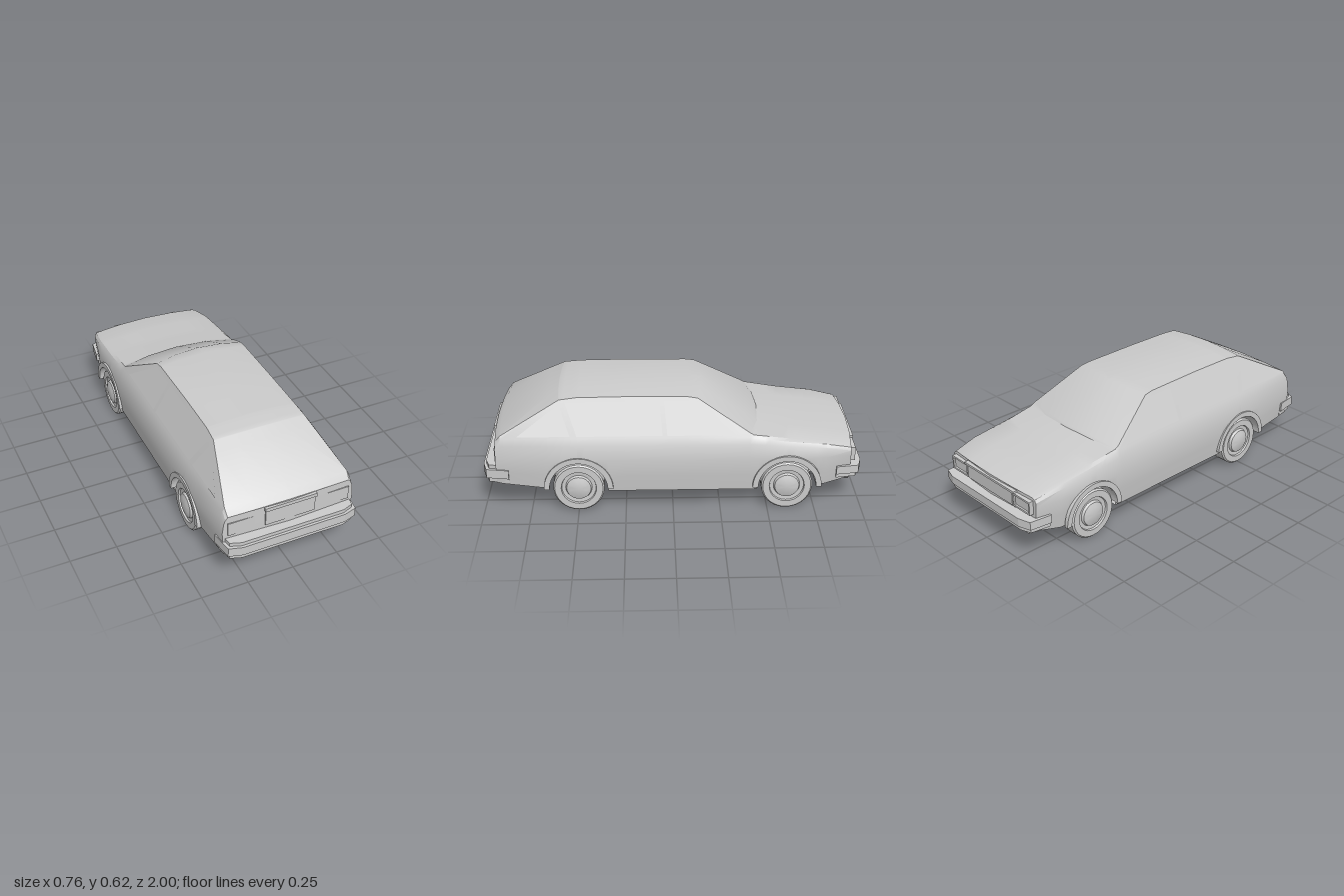
import * as THREE from 'three';
import { toCreasedNormals } from 'three/addons/utils/BufferGeometryUtils.js';

const grey = new THREE.MeshStandardMaterial({ color: 0xcccccc });
const thin = new THREE.MeshStandardMaterial({ color: 0xcccccc, side: THREE.DoubleSide });
const WHEEL_Z = [0.497, -0.6], WHEEL_Y = 0.14, ARCH_R = 0.155;

// z, sill y, sill x, waist x, crease x y, belt x y, roof edge x y, centre y, bow of the centre line
const KEYS = [
  [-0.935, 0.165, 0.315, 0.335, 0.335, 0.33, 0.325, 0.345, 0.305, 0.352, 0.36, -0.02],
  [-0.80, 0.14, 0.345, 0.362, 0.352, 0.355, 0.34, 0.372, 0.32, 0.38, 0.39, -0.02],
  [-0.60, 0.13, 0.355, 0.372, 0.358, 0.37, 0.345, 0.392, 0.325, 0.402, 0.413, -0.025],
  [-0.42, 0.12, 0.36, 0.375, 0.36, 0.385, 0.345, 0.415, 0.334, 0.428, 0.44, -0.04],
  [-0.40, 0.12, 0.36, 0.375, 0.36, 0.385, 0.345, 0.42, 0.334, 0.44, 0.452, -0.05],
  [-0.13, 0.12, 0.36, 0.376, 0.36, 0.385, 0.345, 0.42, 0.25, 0.603, 0.617, -0.03],
  [-0.08, 0.12, 0.36, 0.376, 0.36, 0.385, 0.345, 0.42, 0.247, 0.61, 0.624, -0.01],
  [0.25, 0.12, 0.36, 0.376, 0.36, 0.385, 0.345, 0.42, 0.245, 0.613, 0.63, 0],
  [0.50, 0.12, 0.36, 0.375, 0.36, 0.385, 0.345, 0.42, 0.245, 0.61, 0.624, 0],
  [0.59, 0.13, 0.36, 0.374, 0.358, 0.385, 0.345, 0.42, 0.25, 0.6, 0.612, 0.01],
  [0.895, 0.165, 0.35, 0.362, 0.352, 0.385, 0.343, 0.42, 0.333, 0.437, 0.442, 0.015],
  [0.925, 0.17, 0.345, 0.358, 0.35, 0.365, 0.342, 0.385, 0.33, 0.40, 0.41, 0.015],
];

function sample(z) {
  let i = 0;
  while (i < KEYS.length - 2 && z > KEYS[i + 1][0]) i++;
  const a = KEYS[i], b = KEYS[i + 1], t = (z - a[0]) / (b[0] - a[0]);
  return a.map((v, k) => v + (b[k] - v) * t);
}

// Whole cross-section from the left sill over the roof to the right sill
function section(z) {
  const [, y0, xs, xw, xc, yc, xb, yb, xe, ye, yt, bow] = sample(z);
  let sill = y0;
  for (const w of WHEEL_Z) {
    const d = ARCH_R ** 2 - (z - w) ** 2;
    if (d > -1e-9) sill = Math.max(sill, WHEEL_Y + Math.sqrt(Math.max(d, 0)));
  }
  const waist = 0.305;
  const half = [
    [xs + (xw - xs) * (sill - y0) / (waist - y0), sill, z],
    [xw - (xw - xs) * 0.35 * (waist - sill) / (waist - y0), sill + (waist - sill) * 0.5, z],
    [xw, waist, z], [xc, yc, z], [xb, yb, z], [xe, ye, z],
    [xe * 0.55, ye + (yt - ye) * 0.7, z + bow * 0.7],
  ];
  return [...half, [0, yt, z + bow], ...half.map(([x, y, q]) => [-x, y, q]).reverse()];
}

// Surface through rows of points
function grid(rows, crease = 0.42) {
  const n = rows[0].length, index = [];
  for (let r = 0; r < rows.length - 1; r++) for (let j = 0; j < n - 1; j++) {
    const a = r * n + j, c = a + n;
    index.push(a, a + 1, c, a + 1, c + 1, c);
  }
  const g = new THREE.BufferGeometry();
  g.setAttribute('position', new THREE.Float32BufferAttribute(rows.flat(2), 3));
  g.setIndex(index);
  return toCreasedNormals(g, crease);
}

// Flat closure of an end section
function cap(z) {
  const s = section(z), bow = sample(z)[11];
  return s.slice(0, 8).map((p, i) => [p, [0, p[1], z + bow], s[14 - i]]);
}

// Bar that wraps round the tail, from a half plan of x, z points
function wrapBar(y0, y1, inset = 0) {
  const half = [[0.28, 0.998 - inset], [0.35 - inset, 0.978 - inset], [0.368 - inset, 0.86],
    [0.335, 0.86], [0.325, 0.91]];
  const pts = [...half, ...half.map(([x, z]) => [-x, z]).reverse()];
  const shape = new THREE.Shape(pts.map(p => new THREE.Vector2(...p)));
  const g = new THREE.ExtrudeGeometry(shape, { depth: y1 - y0, bevelEnabled: false });
  return g.rotateX(Math.PI / 2).translate(0, y1, 0);
}

export function createModel() {
  const car = new THREE.Group();
  const add = (name, geo, parent = car, mat = grey) => {
    const m = new THREE.Mesh(geo, mat);
    m.name = name;
    parent.add(m);
    return m;
  };
  const box = (name, w, h, d, x, y, z, parent = car) =>
    add(name, new THREE.BoxGeometry(w, h, d).translate(x, y, z), parent);

  // Body shell with round wheel openings
  const stations = KEYS.map(k => k[0]);
  for (const w of WHEEL_Z) {
    for (let k = 0; k <= 14; k++) stations.push(w - ARCH_R * Math.cos(k * Math.PI / 14));
    stations.push(w - ARCH_R - 0.001, w + ARCH_R + 0.001);
  }
  stations.sort((a, b) => a - b);
  add('bodyShell', grid(stations.map(section)), car, thin);
  add('nosePanel', grid(cap(-0.935)));
  add('tailPanel', grid(cap(0.925).reverse()));

  // Floor, narrowed between the wheels
  const floor = new THREE.Group();
  floor.name = 'floor';
  car.add(floor);
  const [rear, front] = WHEEL_Z, R = ARCH_R;
  const strips = [[-0.935, front - R, 0.325], [front - R, front + R, 0.215], [front + R, rear - R, 0.36],
    [rear - R, rear + R, 0.215], [rear + R, 0.925, 0.35]];
  for (const [a, b, w] of strips) {
    const row = z => [[-w, sample(z)[1], z], [w, sample(z)[1], z]];
    add('floorPanel', grid([row(a), row(b)]), floor, thin);
  }

  // Wheels, arch lips and wheel wells
  const tyre = [[0, 0.28], [0.127, 0.28], [0.135, 0.286], [0.135, 0.357], [0.127, 0.365], [0.093, 0.365],
    [0.09, 0.355], [0.07, 0.353], [0.064, 0.366], [0.04, 0.374], [0, 0.378]];
  const wheelGeo = toCreasedNormals(new THREE.LatheGeometry(
    tyre.map(p => new THREE.Vector2(...p)), 28).rotateZ(-Math.PI / 2), 0.5);
  const lip = new THREE.Shape();
  lip.absarc(0, 0, 0.182, 0, Math.PI, false);
  lip.absarc(0, 0, R - 0.002, Math.PI, 0, true);
  const lipGeo = new THREE.ExtrudeGeometry(lip, { depth: 0.021, bevelEnabled: false, curveSegments: 16 });
  lipGeo.rotateY(Math.PI / 2).translate(0.359, 0, 0);
  const liner = new THREE.CylinderGeometry(R, R, 0.15, 20, 1, true, 0, Math.PI);
  liner.rotateX(Math.PI / 2).rotateZ(Math.PI / 2).rotateY(Math.PI / 2).translate(0.29, 0, 0);
  const wall = new THREE.CircleGeometry(R, 20, 0, Math.PI).rotateY(Math.PI / 2).translate(0.215, 0, 0);
  for (const z of WHEEL_Z) for (const side of [0, Math.PI]) {
    const g = new THREE.Group();
    g.name = z > 0 ? 'rearWheel' : 'frontWheel';
    g.position.set(0, WHEEL_Y, z);
    g.rotation.y = side;
    car.add(g);
    add('wheel', wheelGeo, g);
    add('archLip', lipGeo, g);
    add('wellLiner', liner, g, thin);
    add('wellWall', wall, g, thin);
  }

  // Side windows lying on the sloping cabin side
  const windows = [
    [[-0.33, 0.432], [0.03, 0.432], [0.045, 0.59], [-0.12, 0.59]],
    [[0.055, 0.432], [0.50, 0.432], [0.56, 0.59], [0.07, 0.59]],
    [[0.535, 0.432], [0.81, 0.432], [0.66, 0.535], [0.59, 0.575]],
  ];
  for (const s of [1, -1]) for (const [a, b, c, d] of windows) {
    const at = ([z, y]) => [s * (0.348 - (y - 0.42) * 0.525), y, z];
    add('sideWindow', grid([[at(a), at(b)], [at(d), at(c)]]), car, thin);
  }

  // Bumpers: stepped bars, the front one turned round and lower
  const rearBumper = new THREE.Group(), frontBumper = new THREE.Group();
  rearBumper.name = 'rearBumper';
  frontBumper.name = 'frontBumper';
  car.add(rearBumper, frontBumper);
  add('lowerBar', wrapBar(0.172, 0.2, 0.012), rearBumper);
  add('mainBar', wrapBar(0.2, 0.25), rearBumper);
  add('upperBar', wrapBar(0.25, 0.27, 0.014), rearBumper);
  add('lowerBar', wrapBar(0.175, 0.2, 0.012), frontBumper);
  add('mainBar', wrapBar(0.2, 0.245), frontBumper);
  frontBumper.rotation.y = Math.PI;
  frontBumper.scale.x = 0.97;
  box('chinSpoiler', 0.56, 0.045, 0.05, 0, 0.155, -0.915);

  // Tailgate handle, plate panel and tail lamps
  box('tailgateHandle', 0.28, 0.02, 0.028, 0, 0.392, 0.936);
  box('platePanel', 0.27, 0.09, 0.008, 0, 0.337, 0.939);
  for (const s of [1, -1]) box('tailLamp', 0.15, 0.075, 0.012, s * 0.255, 0.325, 0.926);

  // Grille and framed headlamps
  box('grille', 0.36, 0.07, 0.02, 0, 0.298, -0.95);
  box('grilleTopRail', 0.4, 0.012, 0.03, 0, 0.342, -0.95);
  for (const s of [1, -1]) {
    const lamp = new THREE.Group();
    lamp.name = 'headlamp';
    car.add(lamp);
    box('lens', 0.11, 0.055, 0.016, s * 0.25, 0.3, -0.942, lamp);
    for (const y of [0.268, 0.332]) box('lampRim', 0.13, 0.01, 0.03, s * 0.25, y, -0.945, lamp);
    for (const x of [0.19, 0.31]) box('lampRim', 0.01, 0.065, 0.03, s * x, 0.3, -0.945, lamp);
  }
  return car;
}
